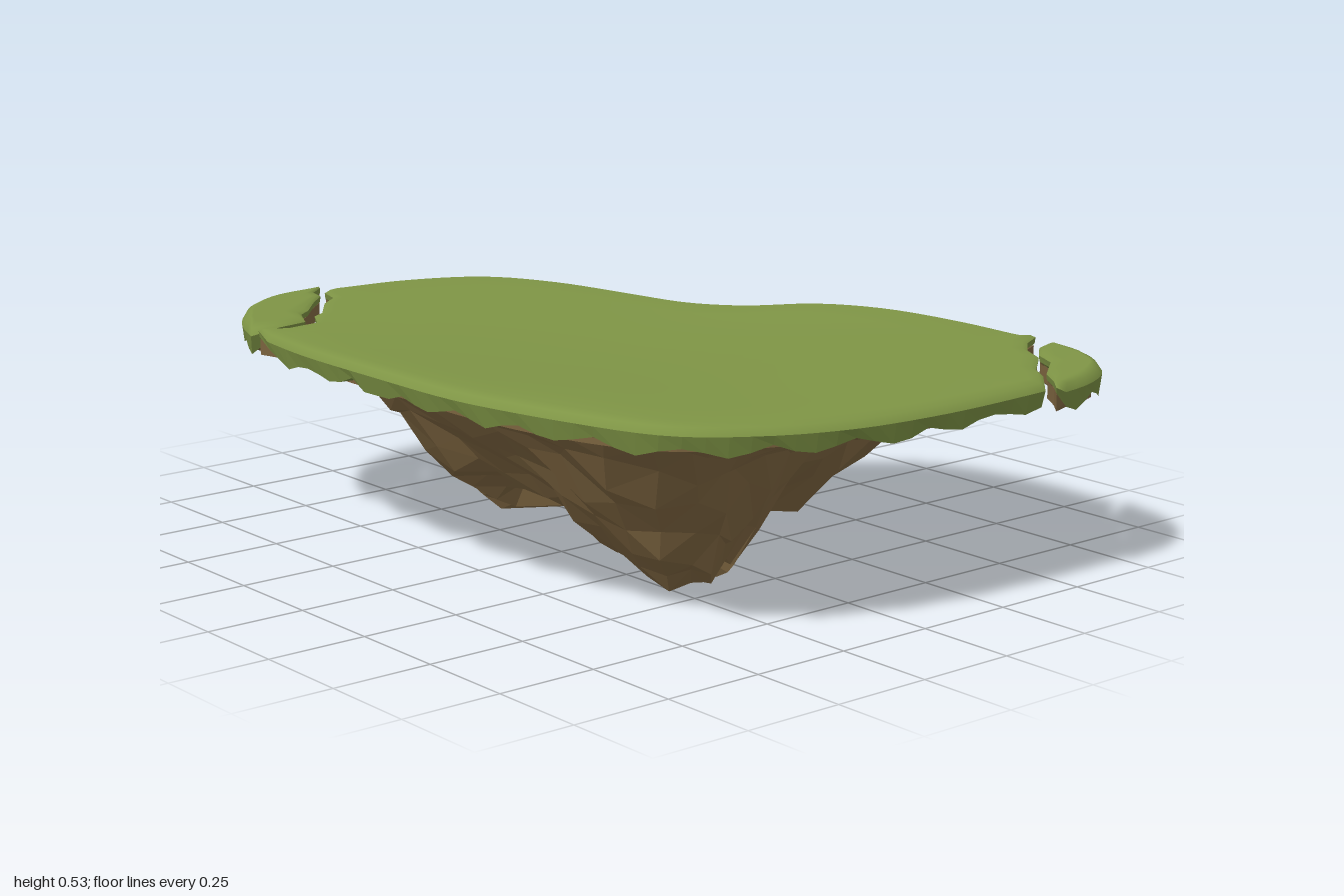
import * as THREE from 'three';

let seed = 7;
const rnd = () => {
  seed = (seed * 16807) % 2147483647;
  return seed / 2147483647 - 0.5;
};

const grass = new THREE.MeshStandardMaterial({ color: 0x7e9445, side: THREE.DoubleSide });
const grassEdge = new THREE.MeshStandardMaterial({ color: 0x74883f, flatShading: true, side: THREE.DoubleSide });
const rock = new THREE.MeshStandardMaterial({ color: 0x7a623e, flatShading: true, side: THREE.DoubleSide });

// Each piece: shore is its smooth outer rim, crack its jagged broken edge, as [x, z]
const mainEdges = [
  { shore: [[-.26, -.985], [-.05, -.965], [.14, -.87], [.25, -.69], [.33, -.45], [.39, -.26], [.48, -.12],
    [.61, 0], [.69, .17], [.725, .4], [.72, .64]], n: 45 },
  { crack: [[.72, .64], [.66, .67], [.6, .725], [.56, .8], [.465, .88], [.43, .935], [.385, .985]] },
  { shore: [[.385, .985], [.05, .98], [-.2, .955], [-.4, .895], [-.57, .79], [-.68, .57], [-.735, .3],
    [-.745, 0], [-.735, -.35], [-.7, -.63]], n: 48 },
  { crack: [[-.7, -.63], [-.64, -.605], [-.53, -.625], [-.49, -.7], [-.45, -.725], [-.38, -.82],
    [-.32, -.87], [-.3, -.94], [-.26, -.985]] },
];
const backChipEdges = [
  { shore: [[-.71, -.65], [-.66, -.77], [-.57, -.89], [-.42, -.975], [-.275, -1]], n: 14 },
  { crack: [[-.275, -1], [-.33, -.95], [-.34, -.9], [-.4, -.84], [-.47, -.76], [-.51, -.73],
    [-.55, -.65], [-.64, -.63], [-.71, -.65]] },
];
const frontChipEdges = [
  { shore: [[.745, .66], [.72, .8], [.65, .92], [.55, .975], [.41, .995]], n: 14 },
  { crack: [[.41, .995], [.45, .95], [.49, .89], [.585, .815], [.62, .745], [.68, .69], [.745, .66]] },
];

// Closed clockwise outline (seen from above), each point flagged as crack or shore
function outline(edges) {
  const loop = [];
  for (const { shore, crack, n } of edges) {
    let pts = (shore || crack).map(([x, z]) => new THREE.Vector3(x, 0, z));
    if (shore) pts = new THREE.CatmullRomCurve3(pts).getSpacedPoints(n);
    pts.slice(0, -1).forEach(p => loop.push({ x: p.x, z: p.z, crack: !!crack }));
  }
  return loop;
}

// Skin between successive closed rows of points, with an optional end point
function loft(rows, start, end) {
  const n = rows[0].length, pos = rows.flat(2), idx = [];
  for (let r = 0; r < rows.length - 1; r++) {
    for (let i = 0; i < n; i++) {
      const j = (i + 1) % n, a = r * n + i, b = r * n + j;
      idx.push(a, b, a + n, b, b + n, a + n);
    }
  }
  const cap = (p, r, flip) => {
    const c = pos.length / 3;
    pos.push(...p);
    for (let i = 0; i < n; i++) {
      const a = r * n + i, b = r * n + (i + 1) % n;
      idx.push(c, flip ? a : b, flip ? b : a);
    }
  };
  if (start) cap(start, 0, false);
  if (end) cap(end, rows.length - 1, true);
  const g = new THREE.BufferGeometry();
  g.setAttribute('position', new THREE.Float32BufferAttribute(pos, 3));
  g.setIndex(idx);
  g.computeVertexNormals();
  return g;
}

// Gently rolling meadow height with a swell at the front left
const topY = (x, z) => 0.508 + 0.03 * x * x + 0.008 * z * z + 0.007 * Math.sin(5 * z - 1.4) * Math.cos(3 * x)
  + 0.015 * Math.exp(-12 * ((x + 0.6) ** 2 + (z - 0.5) ** 2));

// Hanging rock peaks: x, z, drop, x radius, z radius
const peaks = [
  [-.19, .4, .48, .5, .4],
  [-.2, .24, .43, .5, .45],
  [-.2, -.3, .41, .46, .5],
  [-.22, -.04, .35, .5, .5],
  [.08, .12, .37, .5, .55],
  [.08, .38, .34, .45, .42],
  [.26, .36, .27, .45, .42],
  [.46, .4, .2, .24, .42],
];
function rockY(x, z, t) {
  let drop = 0;
  for (const [px, pz, d, rx, rz] of peaks) {
    const r = Math.min(1, Math.hypot((x - px) / rx, (z - pz) / rz));
    drop = Math.max(drop, d * 0.5 * (1 + Math.cos(Math.PI * r)));
  }
  return 0.47 - Math.max(drop * Math.min(1, t * 5), 0.09 * Math.min(1, t * 2));
}

function piece(name, edges, [cx, cz], lift, isMain) {
  const loop = outline(edges);
  // Point moved from the outline towards the centre by a distance
  const inset = (p, d) => {
    const len = Math.hypot(p.x - cx, p.z - cz), k = 1 - Math.min(d / len, 0.4);
    return [cx + (p.x - cx) * k, cz + (p.z - cz) * k];
  };
  const row = (d, y) => loop.map((p, i) => {
    const [x, z] = inset(p, d);
    return [x, y(x, z, p, i), z];
  });
  const surface = (x, z) => topY(x, z) + lift;
  const group = new THREE.Group();
  group.name = name;
  const add = (part, geometry, material) => {
    const m = new THREE.Mesh(geometry, material);
    m.name = part;
    group.add(m);
  };

  // Meadow with a rounded shoulder, crisper along the cracks
  const brim = row(0.04, surface);
  const top = [];
  for (let k = 0.14; k < 0.95; k += 0.14) {
    top.push(brim.map(([bx, , bz]) => {
      const x = cx + (bx - cx) * k, z = cz + (bz - cz) * k;
      return [x, surface(x, z), z];
    }));
  }
  const lip = (x, z, p) => surface(x, z) - (p.crack ? 0.008 : 0.026);
  top.push(brim, row(0.012, (x, z, p) => surface(x, z) - (p.crack ? 0.002 : 0.008)), row(0, lip));
  add('meadow', loft(top, [cx, surface(cx, cz), cz]), grass);

  // Overhanging turf edge with ragged teeth, thin along the cracks
  const teeth = loop.map((p, i) => p.crack ? 0.022 : 0.062 + [0.012, 0.004, -0.012, 0.002][i % 4] + 0.012 * rnd());
  add('turfEdge', loft([
    row(0, lip),
    loop.map((p, i) => {
      const [x, z] = inset(p, p.crack ? 0.002 : 0.008);
      return [x, surface(x, z) - teeth[i], z];
    }),
    row(0.06, () => 0.482 + lift),
  ]), grassEdge);

  // Faceted rock underside; on the mainland it closes along a ridge instead of at a point
  const cols = loop.filter((p, i) => !isMain || (p.crack ? i % 2 === 0 : i % 3 === 0));
  const rim = isMain ? loop.filter(p => p.crack) : [];
  const rows = [[0.035, 0.495], [0.045, 0.47]].map(([d, y]) => cols.map(p => {
    const [x, z] = inset(p, p.crack ? 0.006 : d);
    return [x, y + lift - (p.crack && y < 0.48 ? 0.015 : 0), z];
  }));
  const rings = isMain ? 11 : 3;
  for (let r = 1; r < rings; r++) {
    const t = r / rings, k = (1 - t) * 0.96;
    const j = isMain ? 0.05 * (1.1 - t) : 0.012;
    rows.push(cols.map((p, i) => {
      const s = isMain ? k + 0.4 * (1 - k) : k;
      const x = cx + (p.x - cx) * k + j * rnd(), z = cz + (p.z - cz) * s + j * rnd();
      const bump = rnd() * 0.045 + (i + r) % 2 * 0.012;
      const y = isMain ? rockY(x, z, t) + bump : 0.452 + lift - 0.02 * t + 0.3 * bump;
      return [x, Math.max(0, y), z];
    }));
  }
  add('rock', loft(rows, null, [cx, isMain ? rockY(cx, cz, 1) : 0.435 + lift, cz]), rock);

  // Bare rock face below the turf along each crack
  if (rim.length) {
    const face = [0.495, 0.455].map(y => loop.map(p => {
      const [x, z] = inset(p, p.crack ? 0.004 : 0.05);
      return [x, y, z];
    }));
    add('crackFace', loft(face), rock);
  }
  return group;
}

export function createModel() {
  seed = 7;
  const island = new THREE.Group();
  island.name = 'floatingIsland';
  island.add(
    piece('mainland', mainEdges, [-.18, .1], 0, true),
    piece('backChip', backChipEdges, [-.57, -.8], 0.002, false),
    piece('frontChip', frontChipEdges, [.62, .87], -0.013, false),
  );
  return island;
}
